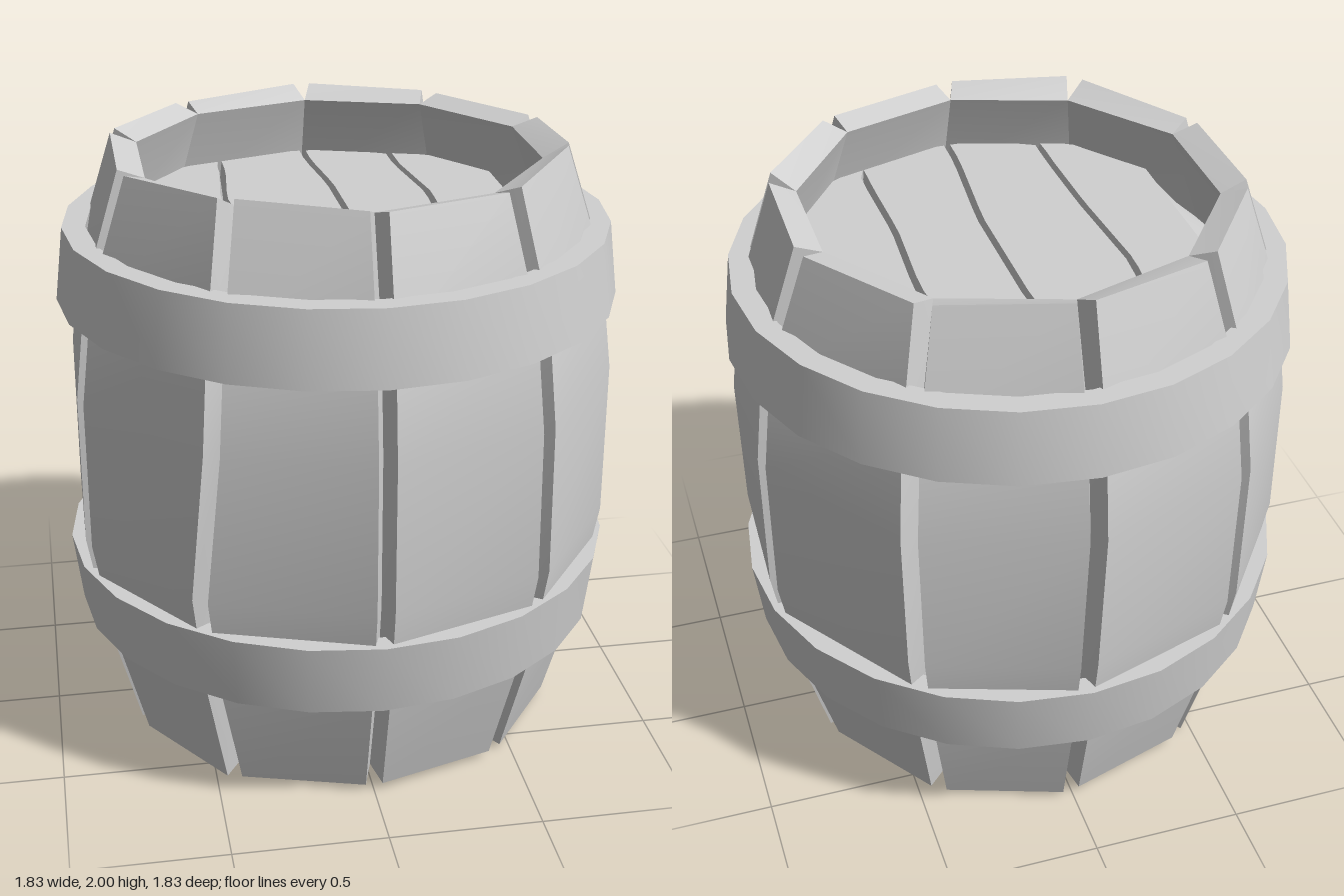
import * as THREE from 'three';
import { toCreasedNormals } from 'three/addons/utils/BufferGeometryUtils.js';

const STAVES = 10;
const RAD = Math.PI / 180;

// Lofts four-cornered sections (counter-clockwise seen from the end); smooth lengthwise, sharp corners
function loft(sections) {
  const pos = [], index = [];
  for (let j = 0; j < 4; j++) {
    const base = pos.length / 3;
    sections.forEach((s, i) => {
      pos.push(...s[j], ...s[(j + 1) % 4]);
      if (i === 0) return;
      const a = base + 2 * (i - 1);
      index.push(a, a + 1, a + 3, a, a + 3, a + 2);
    });
  }
  for (const cap of [[...sections[0]].reverse(), sections[sections.length - 1]]) {
    const a = pos.length / 3;
    cap.forEach(p => pos.push(...p));
    index.push(a, a + 1, a + 2, a, a + 2, a + 3);
  }
  const g = new THREE.BufferGeometry();
  g.setAttribute('position', new THREE.Float32BufferAttribute(pos, 3));
  g.setIndex(index);
  g.computeVertexNormals();
  return g;
}

// Linear interpolation through [key, value] pairs
function sample(curve, t) {
  for (let i = 1; i < curve.length; i++) {
    const [k0, v0] = curve[i - 1], [k1, v1] = curve[i];
    if (t <= k1) return v0 + (v1 - v0) * Math.max(0, (t - k0) / (k1 - k0));
  }
  return curve[curve.length - 1][1];
}

export function createModel() {
  const grey = new THREE.MeshStandardMaterial({ color: 0xd0d0d0 });
  grey.name = 'plain grey';
  const barrel = new THREE.Group();
  barrel.name = 'barrel';
  const add = (name, geometry, parent = barrel) => {
    const mesh = new THREE.Mesh(geometry, grey);
    mesh.name = name;
    parent.add(mesh);
  };

  // Staves: bulging planks meeting at the inside, with V-shaped gaps outside
  const profile = [[0.02, 0.745], [0.4, 0.85], [0.75, 0.912], [1.25, 0.912], [1.6, 0.868], [1.98, 0.74]];
  const seamUpper = [0, 0, 2.5, -3, 0, 0, 1, -1.5, 0, 2.5]; // seam drift in degrees, top half
  const seamLower = [0, 0.5, -0.5, -3, 0.5, -1, 0, -1, 0, -1]; // seam drift, bottom half
  const topEnds = [[-0.005, -0.005], [0, 0.02], [0.015, 0], [-0.005, -0.005], [0, 0.01],
    [0.01, -0.005], [0, 0.005], [0.005, 0], [-0.005, 0.015], [0.02, 0]];
  const bottomEnds = [[0.005, 0], [0, 0], [-0.005, -0.005], [0, 0], [0, -0.005],
    [0.005, 0], [0, -0.005], [-0.01, 0], [-0.01, -0.02], [-0.005, 0.005]];
  const staves = new THREE.Group();
  staves.name = 'staves';
  barrel.add(staves);
  const seamAngle = (k, y) => {
    const drift = y > 1 ? seamUpper : seamLower;
    const fade = y > 1.9 || y < 0.1 ? 0.4 : 1;
    return (k * 36 + drift[k % STAVES] * fade) * RAD;
  };
  for (let i = 0; i < STAVES; i++) {
    const sections = profile.map(([y, r], n) => {
      const isTop = n === profile.length - 1;
      const ends = n === 0 ? bottomEnds[i] : isTop ? topEnds[i] : [0, 0];
      const bevel = n === 0 ? 0.03 : isTop ? -0.03 : 0; // end grain slopes toward the lid
      const a = seamAngle(i, y), b = seamAngle(i + 1, y);
      const gap = 0.028 / r;
      const at = (t, rad, dy) => [rad * Math.sin(t), y + dy, rad * Math.cos(t)];
      return [at(a + gap, r, ends[0]), at(b - gap, r, ends[1]),
        at(b, r - 0.08, bevel), at(a, r - 0.08, bevel)];
    });
    add('stave', loft(sections), staves);
  }

  // Hoops: sloped bands standing slightly off the flat staves
  const hoopProfile = [[0.917, 1.5], [0.888, 1.74], [0.812, 1.74], [0.845, 1.5], [0.917, 1.5]];
  const hoop = points => toCreasedNormals(
    new THREE.LatheGeometry(points.map(p => new THREE.Vector2(...p)), 24), Math.PI / 6);
  add('upperHoop', hoop(hoopProfile));
  // The lower hoop flares upward, with the same slope as the upper one mirrored
  add('lowerHoop', hoop(hoopProfile.map(([r, y]) => [r, 2.14 - y]).reverse()));

  // Lids: four uneven planks each, recessed inside the rims, bevelled at the sides
  const lidRadius = 0.73;
  const seams = [
    [[-0.8, -1], [0.8, -1]],
    [[-0.5, -0.315], [-0.2, -0.345], [0.2, -0.315], [0.5, -0.305]],
    [[-0.6, 0], [-0.3, 0.03], [0.2, 0.035], [0.6, 0]],
    [[-0.5, 0.3], [-0.15, 0.34], [0.2, 0.32], [0.5, 0.33]],
    [[-0.8, 1], [0.8, 1]],
  ];
  for (const [name, outerY, innerY] of [['topLid', 1.75, 1.65], ['bottomLid', 0.27, 0.36]]) {
    const lid = new THREE.Group();
    lid.name = name;
    barrel.add(lid);
    for (let k = 0; k < 4; k++) {
      const nearest = [0.29, 0, 0, 0.29][k];
      const reach = Math.sqrt(lidRadius ** 2 - nearest ** 2) - 0.01;
      const sections = [];
      for (let n = 0; n <= 16; n++) {
        const z = reach * (n / 8 - 1);
        const w = Math.sqrt(lidRadius ** 2 - z * z);
        const left = sample(seams[k], z), right = sample(seams[k + 1], z);
        const row = (y, gap, limit) => [left + gap, right - gap].map(
          x => [THREE.MathUtils.clamp(x, -limit, limit), y, z]);
        const outer = row(outerY, 0.011, Math.min(w, 0.6)), inner = row(innerY, 0, w);
        const [low, high] = outerY > innerY ? [inner, outer] : [outer, inner];
        sections.push([low[0], low[1], high[1], high[0]]);
      }
      add('lidPlank', loft(sections), lid);
    }
  }
  return barrel;
}
